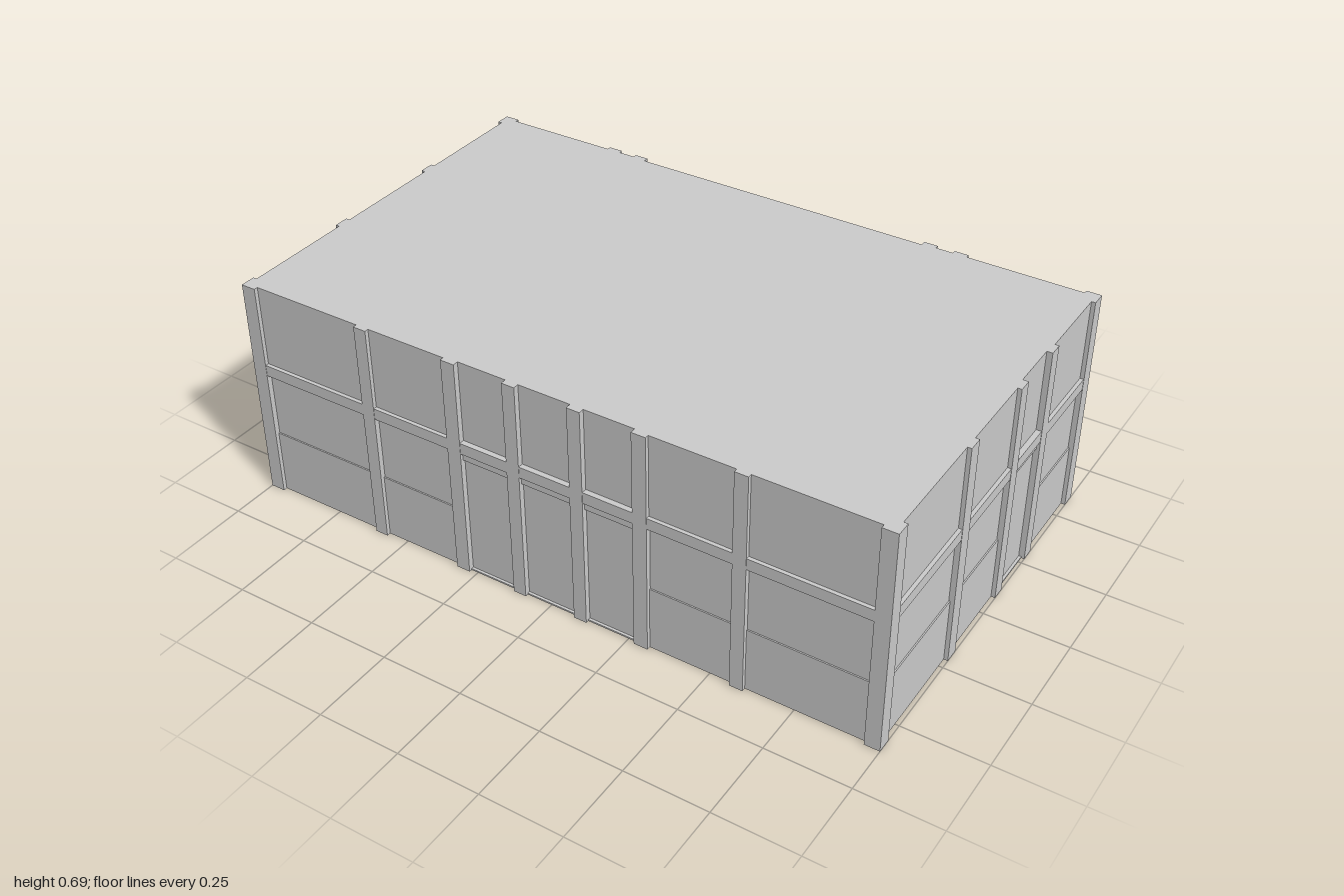
import * as THREE from 'three';

const H = 0.69, HX = 1, HZ = 0.605;

export function createModel() {
  const model = new THREE.Group();
  model.name = 'hall';
  const grey = new THREE.MeshStandardMaterial({ color: 0xcccccc });
  grey.name = 'plain grey';

  // box given by its min and max corners
  function box(parent, name, x0, x1, y0, y1, z0, z1) {
    const m = new THREE.Mesh(new THREE.BoxGeometry(x1 - x0, y1 - y0, z1 - z0), grey);
    m.position.set((x0 + x1) / 2, (y0 + y1) / 2, (z0 + z1) / 2);
    m.name = name;
    parent.add(m);
    return m;
  }

  // wall in local space: u runs along x, outer plane at z = 0
  // posts: [start, end] pairs; kinds: one letter per bay, w = window, d = door, p = plain
  function wall(name, half, turn, x, z, posts, kinds) {
    const g = new THREE.Group();
    g.name = name;
    g.position.set(x, 0, z);
    g.rotation.y = turn;
    posts.forEach(([a, b]) => box(g, 'post', a, b, 0, H, -0.045, 0));
    box(g, 'beam', -half + 0.01, half - 0.01, 0.405, 0.44, -0.04, -0.001);
    [...kinds].forEach((kind, i) => {
      const a = posts[i][1], b = posts[i + 1][0];
      const r = kind === 'd' ? 0.017 : 0.012;
      box(g, 'upperPanel', a, b, 0.44, H, -0.034, -r);
      if (kind === 'w') {
        box(g, 'lowerPanel', a, b, 0, 0.2, -0.034, -r);
        box(g, 'windowPane', a, b, 0.2, 0.405, -0.031, -r - 0.004);
      } else if (kind === 'd') {
        box(g, 'doorHeader', a, b, 0.38, 0.405, -0.036, -0.009);
        box(g, 'doorLeaf', a, b, 0.005, 0.38, -0.031, -r);
        box(g, 'threshold', a, b, 0, 0.005, -0.036, -0.009);
      } else {
        box(g, 'lowerPanel', a, b, 0, 0.405, -0.034, -r);
      }
    });
    model.add(g);
  }

  wall('frontWall', HX, 0, 0, HZ,
    [[-1, -0.955], [-0.605, -0.565], [-0.315, -0.272], [-0.12, -0.08],
      [0.08, 0.12], [0.272, 0.315], [0.565, 0.605], [0.955, 1]], 'wwdddww');
  wall('backWall', HX, Math.PI, 0, -HZ,
    [[-1, -0.955], [-0.605, -0.562], [-0.51, -0.468],
      [0.468, 0.51], [0.562, 0.605], [0.955, 1]], 'wpdpw');
  wall('leftWall', HZ, Math.PI / 2, HX, 0,
    [[-0.605, -0.563], [-0.22, -0.175], [0.075, 0.117], [0.27, 0.312], [0.563, 0.605]], 'wwdw');
  wall('rightWall', HZ, -Math.PI / 2, -HX, 0,
    [[-0.605, -0.563], [-0.22, -0.175], [0.172, 0.217], [0.563, 0.605]], 'www');

  box(model, 'roof', -0.983, 0.983, H - 0.012, H, -0.587, 0.587);

  // furnishings
  box(model, 'carpet', -0.19, 0.18, 0, 0.004, -0.27, 0.53);
  box(model, 'counter', -0.268, 0.268, 0, 0.21, -0.465, -0.322);
  for (const s of [-1, 1]) {
    box(model, 'pillar', s * 0.393 - 0.03, s * 0.393 + 0.03, 0, H - 0.012, -0.02, 0.04);
  }

  const bin = new THREE.Mesh(new THREE.CylinderGeometry(0.034, 0.044, 0.15, 20), grey);
  bin.name = 'stand';
  bin.position.set(0.79, 0.075, -0.4);
  model.add(bin);

  // armchair facing +x in local space
  function chair(x, z, turn) {
    const g = new THREE.Group();
    g.name = 'chair';
    g.position.set(x, 0, z);
    g.rotation.y = turn;
    box(g, 'seat', -0.05, 0.05, 0.085, 0.097, -0.05, 0.05);
    for (const s of [-1, 1]) {
      const c = s * 0.046;
      box(g, 'frontLeg', 0.04, 0.05, 0, 0.135, c - 0.005, c + 0.005);
      box(g, 'rearLeg', -0.05, -0.04, 0, 0.21, c - 0.005, c + 0.005);
      box(g, 'armrest', -0.05, 0.055, 0.135, 0.143, c - 0.008, c + 0.008);
    }
    box(g, 'backRail', -0.05, -0.042, 0.17, 0.21, -0.046, 0.046);
    model.add(g);
  }
  for (const z of [0.01, 0.4]) {
    chair(-0.79, z, 0);
    chair(0.78, z, Math.PI);
  }

  return model;
}
